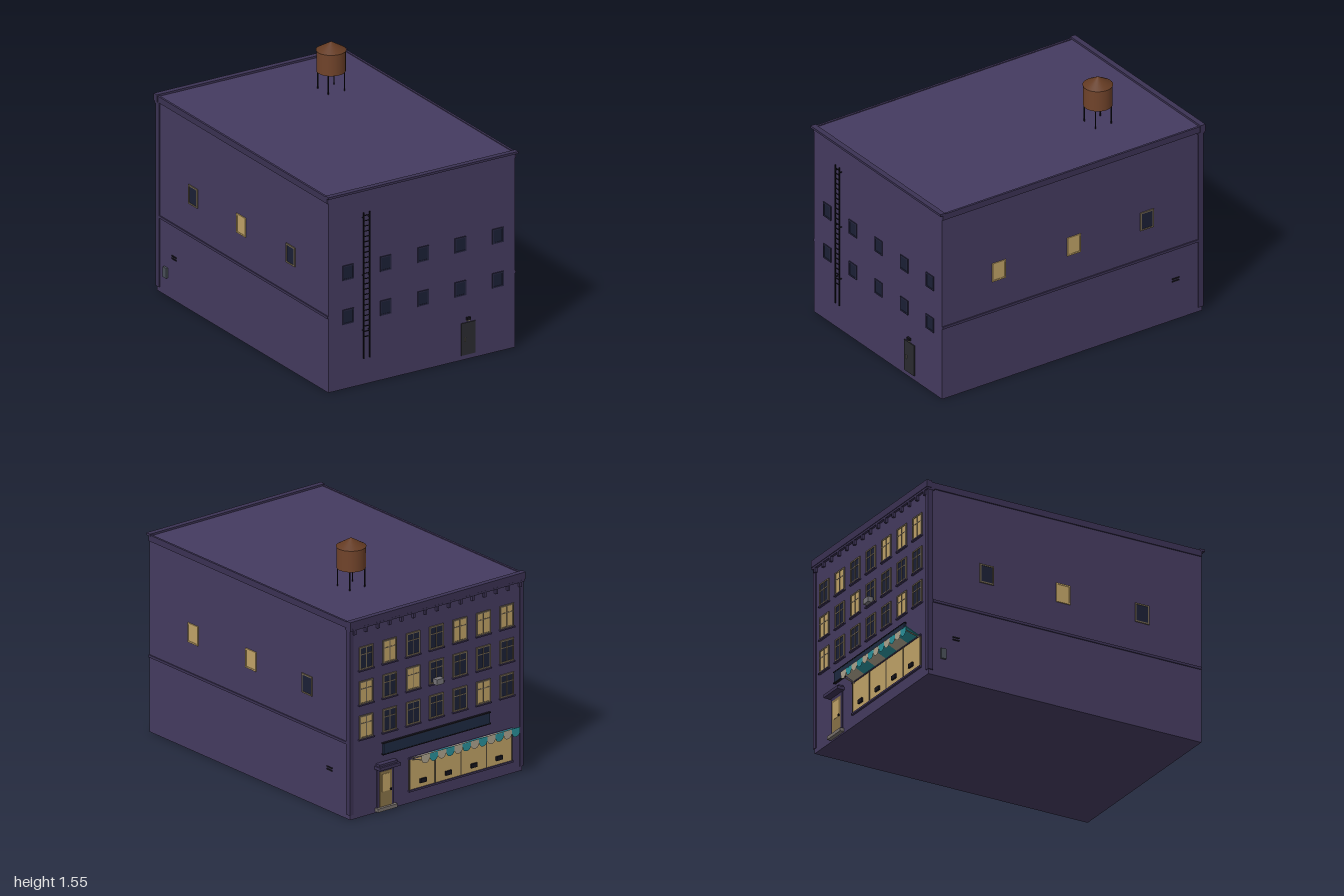
import * as THREE from 'three';

const WALL = 0x453b60, TRIM = 0x3b3254, DARK = 0x1b2036, LIT = 0xc2a468, FRAME = 0x6f6350,
  BLACK = 0x15141c, TEAL = 0x2a929c, BEIGE = 0xb0a690, WOOD = 0x70432a, NAVY = 0x1e2a42, DOOR = 0x2b2b30;

const mats = {};
const mat = (c) => (mats[c] ??= new THREE.MeshStandardMaterial({ color: c, side: THREE.DoubleSide }));

function add(parent, name, geo, color, x, y, z) {
  const m = new THREE.Mesh(geo, mat(color));
  m.name = name;
  m.position.set(x, y, z);
  parent.add(m);
  return m;
}
const box = (parent, name, w, h, d, color, x, y, z) =>
  add(parent, name, new THREE.BoxGeometry(w, h, d), color, x, y, z);

function group(parent, name, x = 0, y = 0, z = 0, turn = 0) {
  const g = new THREE.Group();
  g.name = name;
  g.position.set(x, y, z);
  g.rotation.y = turn;
  parent.add(g);
  return g;
}

// Window facing local +z: four frame bars, glass and optional glazing bars
function makeWindow(parent, x, y, z, turn, w, h, lit, frame, bars) {
  const g = group(parent, 'window', x, y, z, turn), t = 0.009;
  box(g, 'glass', w - t, h - t, 0.004, lit ? LIT : DARK, 0, 0, 0.001);
  for (const s of [-1, 1]) {
    box(g, 'frameSide', t, h, 0.012, frame, s * (w - t) / 2, 0, 0);
    box(g, 'frameRail', w, t, 0.012, frame, 0, s * (h - t) / 2, 0);
  }
  if (bars) {
    box(g, 'mullion', 0.006, h - t, 0.009, frame, 0, 0, 0);
    box(g, 'transom', w - t, 0.006, 0.009, frame, 0, h * 0.16, 0);
  }
  return g;
}

function buildBody(root) {
  const g = group(root, 'building');
  box(g, 'walls', 1.31, 1.245, 1.88, WALL, 0, 0.6225, 0.04);
  box(g, 'facadeCornice', 1.335, 0.045, 0.035, TRIM, 0, 1.235, -0.9);
  box(g, 'facadeCorniceLip', 1.33, 0.012, 0.05, TRIM, 0, 1.205, -0.89);
  box(g, 'frontCoping', 1.33, 0.014, 0.035, TRIM, 0, 1.25, 0.982);
  for (let i = 0; i < 15; i++)
    box(g, 'corniceBracket', 0.016, 0.03, 0.018, TRIM, -0.63 + i * 0.09, 1.185, -0.908);
  for (const s of [-1, 1]) {
    box(g, 'sideCornice', 0.014, 0.04, 1.86, TRIM, s * 0.656, 1.23, 0.05);
    box(g, 'sideBand', 0.012, 0.016, 1.85, TRIM, s * 0.656, 0.481, 0.055);
    box(g, 'cornerPilaster', 0.028, 1.17, 0.035, TRIM, s * 0.648, 0.615, -0.888);
    for (const y of [0.262, 0.278]) box(g, 'sideVent', 0.008, 0.008, 0.05, BLACK, s * 0.656, y, -0.71);
    // Side windows: which ones are lit differs per side
    [0.57, 0.027, -0.5].forEach((z, i) => {
      const lit = i === 1 || (i === 0 && s > 0);
      makeWindow(g, s * 0.656, 0.74, z, s * Math.PI / 2, 0.097, 0.122, lit, lit ? LIT : FRAME, false);
    });
  }
  box(g, 'meterBox', 0.018, 0.065, 0.035, 0x4a5058, -0.66, 0.15, -0.8);
}

function buildFront(root) {
  const g = group(root, 'frontWall');
  for (let i = 0; i < 5; i++)
    for (const y of [0.742, 0.46]) makeWindow(g, -0.517 + i * 0.2625, y, 0.98, 0, 0.078, 0.095, false, 0x262640, false);
  box(g, 'serviceDoor', 0.1, 0.205, 0.012, DOOR, 0.325, 0.133, 0.98);
  box(g, 'doorHandle', 0.006, 0.025, 0.012, 0x77736c, 0.3, 0.13, 0.987);
  box(g, 'doorLamp', 0.028, 0.016, 0.02, BLACK, 0.324, 0.26, 0.985);
  box(g, 'lampGlass', 0.018, 0.008, 0.014, BEIGE, 0.324, 0.249, 0.985);
  // Wall ladder
  const ladder = group(g, 'ladder', -0.395, 0, 0.996);
  for (const s of [-1, 1]) {
    box(ladder, 'rail', 0.005, 0.935, 0.006, BLACK, s * 0.021, 0.638, 0);
    for (const y of [0.35, 0.7, 1.07]) box(ladder, 'bracket', 0.005, 0.005, 0.02, BLACK, s * 0.021, y, -0.008);
  }
  for (let i = 0; i < 24; i++) box(ladder, 'rung', 0.042, 0.004, 0.004, BLACK, 0, 0.31 + i * 0.0337, 0);
}

function buildFacade(root) {
  const g = group(root, 'shopFacade');
  // Three storeys of windows, listed from +x to -x; 1 = lit
  ['0100111', '1010000', '1000010'].forEach((row, r) => {
    [...row].forEach((c, i) => {
      const x = 0.536 - i * 0.1785, y = 1.005 - r * 0.218;
      makeWindow(g, x, y, -0.902, Math.PI, 0.105, 0.145, c === '1', FRAME, true);
      box(g, 'windowSill', 0.115, 0.008, 0.018, TRIM, x, y - 0.077, -0.905);
    });
  });
  box(g, 'airConditioner', 0.055, 0.035, 0.045, 0x77757a, 0, 0.73, -0.918);
  box(g, 'signBoard', 0.81, 0.07, 0.016, NAVY, 0.005, 0.395, -0.906);
  for (const s of [-1, 1]) box(g, 'signEdge', 0.82, 0.006, 0.02, BLACK, 0.005, 0.395 + s * 0.035, -0.906);

  // Entrance
  const e = group(g, 'entrance', 0.39, 0, -0.9);
  box(e, 'doorFrame', 0.13, 0.25, 0.014, TRIM, 0, 0.15, 0);
  box(e, 'door', 0.095, 0.225, 0.018, 0x8a7448, 0, 0.14, -0.001);
  box(e, 'doorPane', 0.06, 0.11, 0.022, LIT, 0, 0.18, -0.001);
  box(e, 'doorKnob', 0.008, 0.012, 0.03, BLACK, -0.036, 0.13, -0.004);
  box(e, 'canopy', 0.16, 0.02, 0.05, TRIM, 0, 0.288, -0.025);
  box(e, 'canopyTop', 0.14, 0.014, 0.035, TRIM, 0, 0.304, -0.018);
  box(e, 'step', 0.15, 0.022, 0.03, 0x77706c, 0, 0.02, -0.012);

  // Display window with four panes
  const s = group(g, 'displayWindow', -0.182, 0, -0.9);
  box(s, 'pane', 0.78, 0.2, 0.012, LIT, 0, 0.18, 0);
  box(s, 'sill', 0.79, 0.012, 0.022, TRIM, 0, 0.078, -0.002);
  box(s, 'head', 0.79, 0.012, 0.018, TRIM, 0, 0.282, -0.002);
  for (let i = 0; i < 5; i++) box(s, 'mullion', 0.007, 0.2, 0.018, 0x4f4535, -0.39 + i * 0.195, 0.18, 0);
  for (let i = 0; i < 4; i++) {
    box(s, 'fixture', 0.045, 0.026, 0.022, BLACK, 0.29 - i * 0.193, 0.125, -0.006);
  }

  // Striped awning with scalloped edge
  const a = group(g, 'awning', -0.185);
  const w = 0.75 / 6, rise = 0.04, run = 0.092, len = Math.hypot(rise, run);
  for (let i = 0; i < 6; i++) {
    const strip = box(a, 'awningStrip', w, 0.006, len, i % 2 ? BEIGE : TEAL, -0.375 + w * (i + 0.5), 0.303, -0.951);
    strip.rotation.x = Math.atan2(rise, run);
  }
  for (let i = 0; i < 12; i++) {
    const r = w / 4;
    const scallop = new THREE.Shape();
    scallop.moveTo(-r, 0.022).lineTo(-r, 0).absarc(0, 0, r, Math.PI, 2 * Math.PI, false).lineTo(r, 0.022);
    add(a, 'scallop', new THREE.ShapeGeometry(scallop, 8), i % 2 ? BEIGE : TEAL, -0.375 + r * (2 * i + 1), 0.302, -0.998);
  }
  for (const sx of [-1, 1]) {
    const arm = box(a, 'awningArm', 0.005, 0.005, 0.1, BEIGE, sx * 0.372, 0.285, -0.948);
    arm.rotation.x = 0.25;
  }
}

function buildWaterTower(root) {
  const g = group(root, 'waterTower', 0.262, 0, -0.425);
  add(g, 'tank', new THREE.CylinderGeometry(0.087, 0.087, 0.135, 32), WOOD, 0, 1.4325, 0);
  add(g, 'tankRoof', new THREE.ConeGeometry(0.091, 0.054, 32), 0x633a22, 0, 1.527, 0);
  for (const x of [-1, 1])
    for (const z of [-1, 1])
      add(g, 'leg', new THREE.CylinderGeometry(0.004, 0.004, 0.125, 8), BLACK, x * 0.057, 1.306, z * 0.057);
}

export function createModel() {
  const root = new THREE.Group();
  root.name = 'shopBuilding';
  buildBody(root);
  buildFront(root);
  buildFacade(root);
  buildWaterTower(root);
  return root;
}
